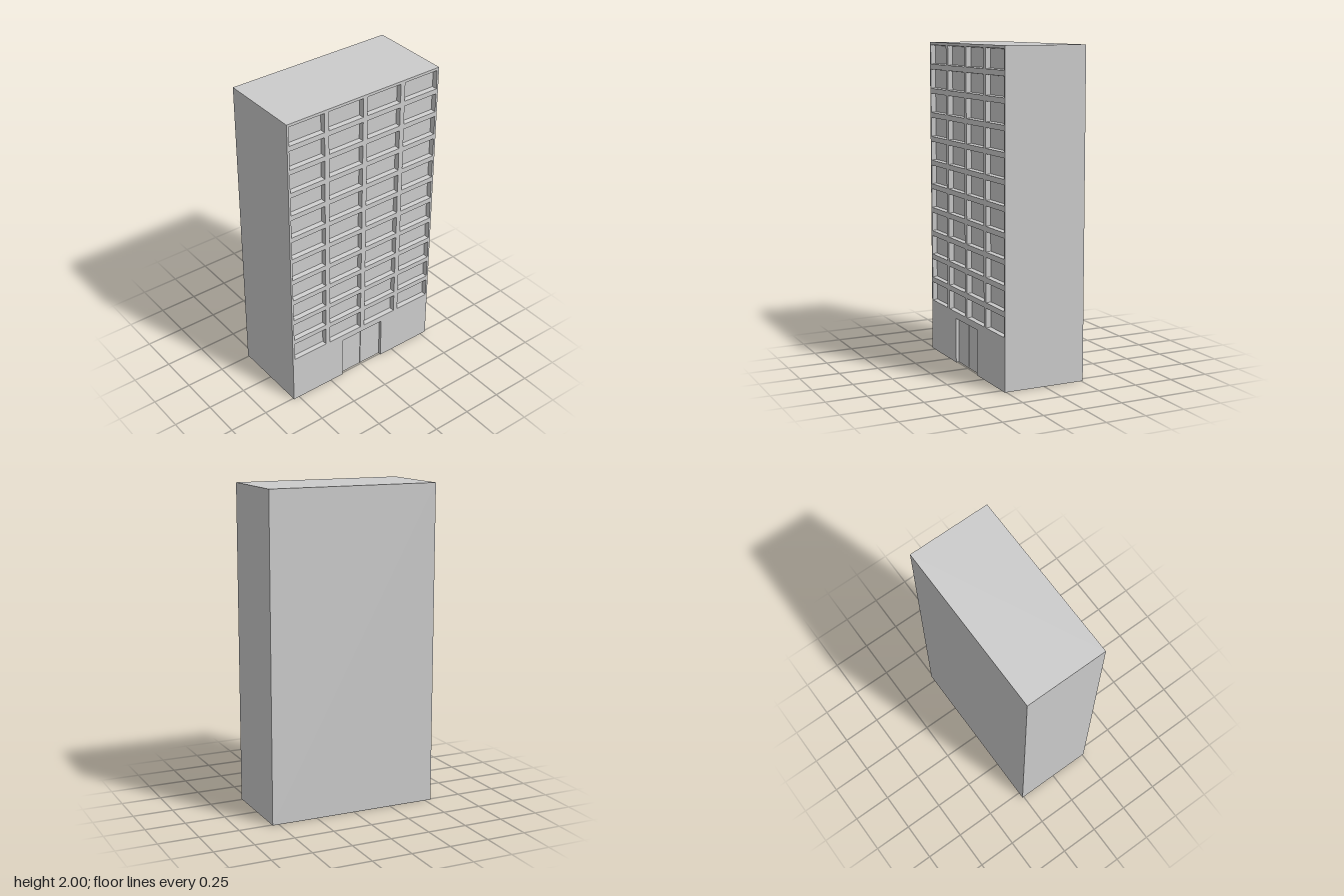
import * as THREE from 'three';

const W = 0.54, H = 2, D = 0.26; // half width, height, half depth
const material = new THREE.MeshStandardMaterial({
  color: 0xcccccc, flatShading: true, side: THREE.DoubleSide,
});

// Builds flat four-cornered faces, corners counter-clockwise from outside
function quads(list) {
  const pos = [];
  for (const [a, b, c, d] of list) pos.push(...a, ...b, ...c, ...a, ...c, ...d);
  const g = new THREE.BufferGeometry();
  g.setAttribute('position', new THREE.Float32BufferAttribute(pos, 3));
  g.computeVertexNormals();
  return g;
}

function mesh(name, geometry) {
  const m = new THREE.Mesh(geometry, material);
  m.name = name;
  return m;
}

const rect = (w, h, z) => [[-w, -h, z], [w, -h, z], [w, h, z], [-w, h, z]];

// Window recess: slightly tapered sides and a back pane
function windowGeometry(w, h, depth, taper) {
  const o = rect(w / 2, h / 2, 0);
  const i = rect(w / 2 - taper, h / 2 - taper, -depth);
  const faces = [i];
  for (let k = 0; k < 4; k++) {
    const n = (k + 1) % 4;
    faces.push([o[k], o[n], i[n], i[k]]);
  }
  return quads(faces);
}

export function createModel() {
  const model = new THREE.Group();
  model.name = 'apartmentBlock';

  // Side walls, back wall and roof; the underside is open
  const corner = [[W, D], [W, -D], [-W, -D], [-W, D]];
  const shell = [];
  for (let k = 0; k < 3; k++) {
    const [x0, z0] = corner[k], [x1, z1] = corner[k + 1];
    shell.push([[x0, 0, z0], [x1, 0, z1], [x1, H, z1], [x0, H, z0]]);
  }
  shell.push([[-W, H, D], [W, H, D], [W, H, -D], [-W, H, -D]]);
  model.add(mesh('outerWallsAndRoof', quads(shell)));

  // Front wall with a doorway notch and window openings
  const doorW = 0.156, doorH = 0.285;
  const wall = new THREE.Shape([
    [-W, 0], [-doorW, 0], [-doorW, doorH], [doorW, doorH],
    [doorW, 0], [W, 0], [W, H], [-W, H],
  ].map(([x, y]) => new THREE.Vector2(x, y)));

  const winW = 0.24, winH = 0.121;
  const windowShape = windowGeometry(winW, winH, 0.03, 0.004);
  const windows = new THREE.Group();
  windows.name = 'windows';
  for (let row = 0; row < 11; row++) {
    for (let col = 0; col < 4; col++) {
      const x = (col - 1.5) * 0.271, y = 0.387 + row * 0.1535;
      wall.holes.push(new THREE.Path(
        [[-1, -1], [-1, 1], [1, 1], [1, -1]].map(([sx, sy]) =>
          new THREE.Vector2(x + sx * winW / 2, y + sy * winH / 2))));
      const w = mesh('window', windowShape);
      w.position.set(x, y, D);
      windows.add(w);
    }
  }
  model.add(windows);
  const front = mesh('frontWall', new THREE.ShapeGeometry(wall));
  front.position.z = D;
  model.add(front);

  // Recessed double door: plan profile with a deep narrow groove between leaves
  const leaf = -0.02, groove = -0.065, gap = 0.002;
  const plan = [
    [-doorW, 0], [-doorW, leaf], [-gap, leaf], [-gap, groove],
    [gap, groove], [gap, leaf], [doorW, leaf], [doorW, 0],
  ];
  const faces = [];
  for (let k = 0; k < plan.length - 1; k++) {
    const [x0, z0] = plan[k], [x1, z1] = plan[k + 1];
    faces.push([[x0, 0, z0], [x1, 0, z1], [x1, doorH, z1], [x0, doorH, z0]]);
  }
  // Underside of the door head
  for (const [x, z0, z1] of [[doorW, 0, leaf], [gap, leaf, groove]]) {
    faces.push([[-x, doorH, z1], [x, doorH, z1], [x, doorH, z0], [-x, doorH, z0]]);
  }
  const door = mesh('doubleDoor', quads(faces));
  door.position.z = D;
  model.add(door);

  return model;
}
